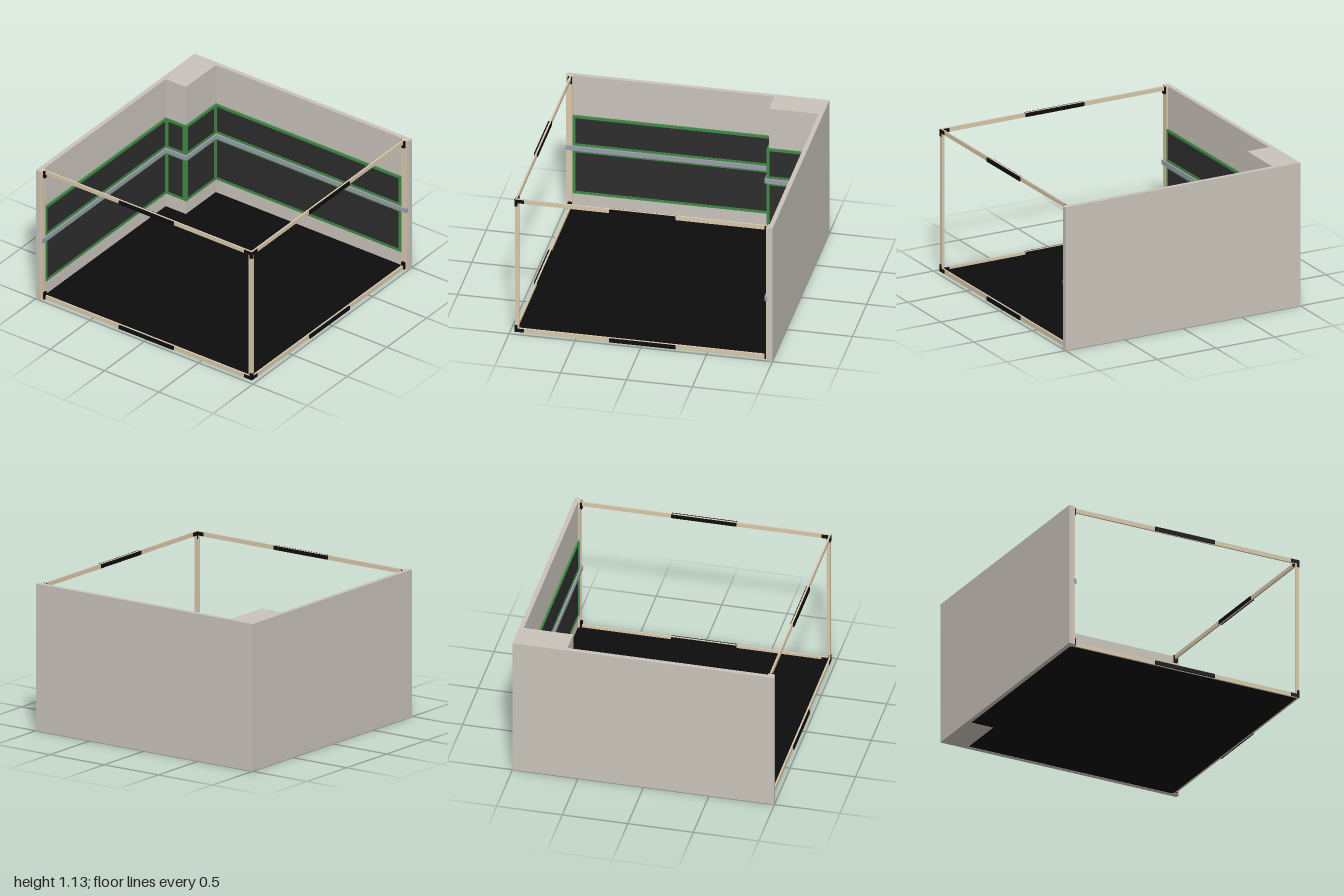
import * as THREE from 'three';

const mat = (color) => new THREE.MeshStandardMaterial({ color });

export function createModel() {
  const model = new THREE.Group();
  model.name = 'roomCorner';
  const wall = mat(0xc9c3ba), wood = mat(0xd8c8ac), black = mat(0x0d0d0d);
  const board = mat(0x2d2d2d), green = mat(0x3f8a45), metal = mat(0x9a9eaa);
  const H = 1.13;

  // box given by its limits on each axis
  function box(name, m, x0, x1, y0, y1, z0, z1) {
    const mesh = new THREE.Mesh(new THREE.BoxGeometry(x1 - x0, y1 - y0, z1 - z0), m);
    mesh.position.set((x0 + x1) / 2, (y0 + y1) / 2, (z0 + z1) / 2);
    mesh.name = name;
    model.add(mesh);
  }
  // the same box on both sides of the room's diagonal (x and z swapped)
  function pair(name, m, x0, x1, y0, y1, z0, z1) {
    box(name, m, x0, x1, y0, y1, z0, z1);
    box(name, m, z0, z1, y0, y1, x0, x1);
  }
  // outline around the pillar, pushed out from the wall by d
  const outline = (d) => ({ x: -0.965 + d, z: -0.965 + d, px: -0.78 + d, pz: -0.588 + d });

  // walls and corner pillar
  box('backWall', wall, -1, 1, 0, H, -1, -0.965);
  box('leftWall', wall, -1, -0.965, 0, H, -0.965, 0.995);
  box('pillar', wall, -0.965, -0.78, 0, H, -0.965, -0.588);

  // floor with a notch for the pillar
  const floorShape = new THREE.Shape([
    [-0.965, -0.588], [-0.78, -0.588], [-0.78, -0.965],
    [0.955, -0.965], [0.955, 0.955], [-0.965, 0.955],
  ].map(([x, z]) => new THREE.Vector2(x, -z)));
  const floor = new THREE.Mesh(
    new THREE.ExtrudeGeometry(floorShape, { depth: 0.01, bevelEnabled: false }), black);
  floor.rotation.x = -Math.PI / 2;
  floor.position.y = 0.002;
  floor.name = 'floor';
  model.add(floor);

  // framed panel, lying on the wall and facing +z before rotation
  function panel(w, y0, y1, x, z, turn) {
    const g = new THREE.Group();
    const h = y1 - y0, b = 0.02;
    const rect = (C, a, c) => new C([[-a, -c], [a, -c], [a, c], [-a, c]]
      .map(([u, v]) => new THREE.Vector2(u, v)));
    const s = rect(THREE.Shape, w / 2, h / 2);
    s.holes.push(rect(THREE.Path, w / 2 - b, h / 2 - b));
    const frame = new THREE.Mesh(
      new THREE.ExtrudeGeometry(s, { depth: 0.014, bevelEnabled: false }), green);
    frame.name = 'panelFrame';
    const face = new THREE.Mesh(new THREE.BoxGeometry(w - 2 * b, h - 2 * b, 0.01), board);
    face.position.z = 0.005;
    face.name = 'panelFace';
    g.add(frame, face);
    g.position.set(x, (y0 + y1) / 2, z);
    g.rotation.y = turn ? Math.PI / 2 : 0;
    g.name = 'wallPanel';
    model.add(g);
  }
  const o = outline(0), t = outline(0.014);
  for (const [y0, y1] of [[0.135, 0.505], [0.54, 0.795]]) {
    const alongX = (a, b, z) => panel(b - a, y0, y1, (a + b) / 2, z, false);
    const alongZ = (a, b, x) => panel(b - a, y0, y1, x, (a + b) / 2, true);
    alongX(o.px, 0.933, o.z);
    alongZ(t.z, t.pz, o.px);
    alongX(t.x, o.px, o.pz);
    alongZ(o.pz, 0.94, o.x);
  }

  // rail following the walls between the two rows of panels
  const r = outline(0.028), ry = [0.505, 0.541];
  box('rail', metal, o.px, 0.99, ...ry, o.z, r.z);
  box('rail', metal, o.px, r.px, ...ry, r.z, r.pz);
  box('rail', metal, o.x, o.px, ...ry, o.pz, r.pz);
  box('rail', metal, o.x, r.x, ...ry, r.pz, 0.99);

  // open frame: L-shaped corner post, wall-end posts
  pair('cornerPost', wood, 0.933, 0.963, 0.002, H - 0.002, 0.95, 0.963);
  pair('wallEndPost', wood, -0.965, -0.95, 0, H, 0.963, 0.99);
  pair('wallEndPost', wood, -0.965, -0.952, 0, H, 0.94, 0.963);

  // beams, their joining plates and corner brackets, at floor and top
  for (const y of [0, H - 0.034]) {
    const top = y > 0.5;
    pair('beam', wood, -0.95, 0.95, y, y + 0.034, 0.95, 0.963);
    pair('joiningPlate', black, -0.255, 0.245, y + 0.002, y + 0.032, 0.945, 0.974);
    pair('cornerBracket', black, 0.895, 0.965, y + 0.003, y + 0.031, 0.944, 0.966);
    const v0 = top ? H - 0.06 : 0.003, v1 = top ? H - 0.003 : 0.06;
    box('cornerBracketUpright', black, 0.944, 0.966, v0, v1, 0.944, 0.966);
    pair('wallBracket', black, -0.951, -0.934, v0, v1, 0.945, 0.975);
  }
  return model;
}
